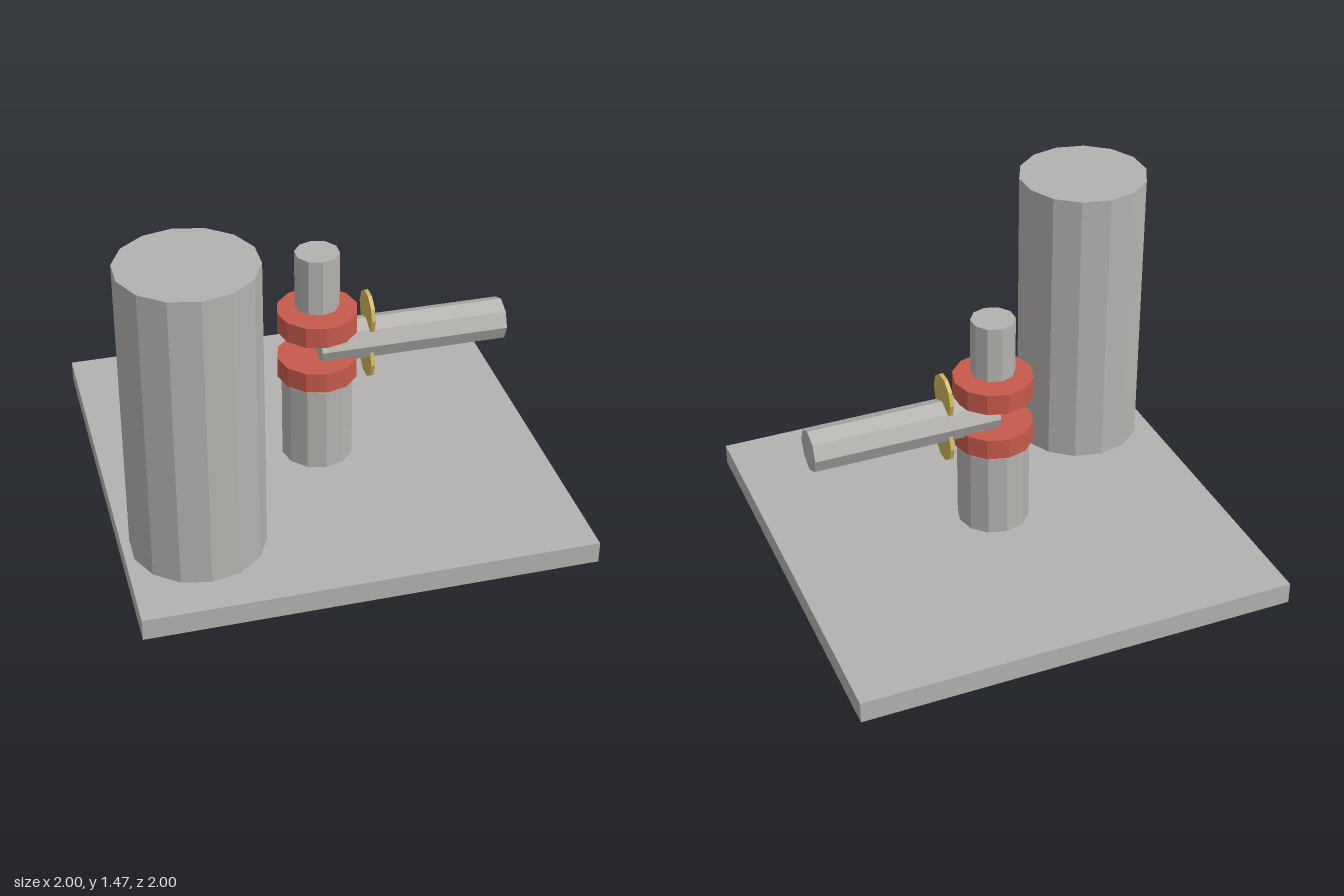
import * as THREE from 'three';

export function createModel() {
  const model = new THREE.Group();
  const mat = (name, color) => {
    const m = new THREE.MeshStandardMaterial({ color, flatShading: true });
    m.name = name;
    return m;
  };
  const grey = mat('grey metal', 0xb4b2af);
  const red = mat('red', 0xc65a4b);
  const brass = mat('brass yellow', 0xcbb455);

  const add = (name, geometry, material) => {
    const mesh = new THREE.Mesh(geometry, material);
    mesh.name = name;
    model.add(mesh);
    return mesh;
  };

  // Upright cylinder from y0 to y1
  const upright = (name, r, sides, y0, y1, material, x = 0, z = 0) =>
    add(name, new THREE.CylinderGeometry(r, r, y1 - y0, sides), material)
      .position.set(x, (y0 + y1) / 2, z);

  // Cylinder lying along x from x0 to x1
  const lying = (name, r, sides, x0, x1, y, material) => {
    const g = new THREE.CylinderGeometry(r, r, x1 - x0, sides).rotateZ(-Math.PI / 2);
    add(name, g, material).position.set((x0 + x1) / 2, y, 0);
  };

  // Base plate and tall column at its front corner
  add('basePlate', new THREE.BoxGeometry(2, 0.1, 2), grey).position.y = 0.05;
  upright('tallColumn', 0.298, 14, 0.1, 1.47, grey, -0.67, 0.532);

  // Central stack: pedestal, two collars and the top shaft
  upright('pedestal', 0.165, 12, 0.1, 0.505, grey);
  upright('lowerCollar', 0.183, 12, 0.52, 0.617, red);
  upright('upperCollar', 0.183, 12, 0.755, 0.853, red);
  upright('topShaft', 0.1, 10, 0.873, 1.138, grey);

  // Side arm with a pair of thin discs
  lying('sideArm', 0.098, 8, 0, 0.865, 0.672, grey);
  lying('upperDisc', 0.1, 10, 0.225, 0.243, 0.8, brass);
  lying('lowerDisc', 0.1, 10, 0.225, 0.243, 0.57, brass);

  return model;
}
